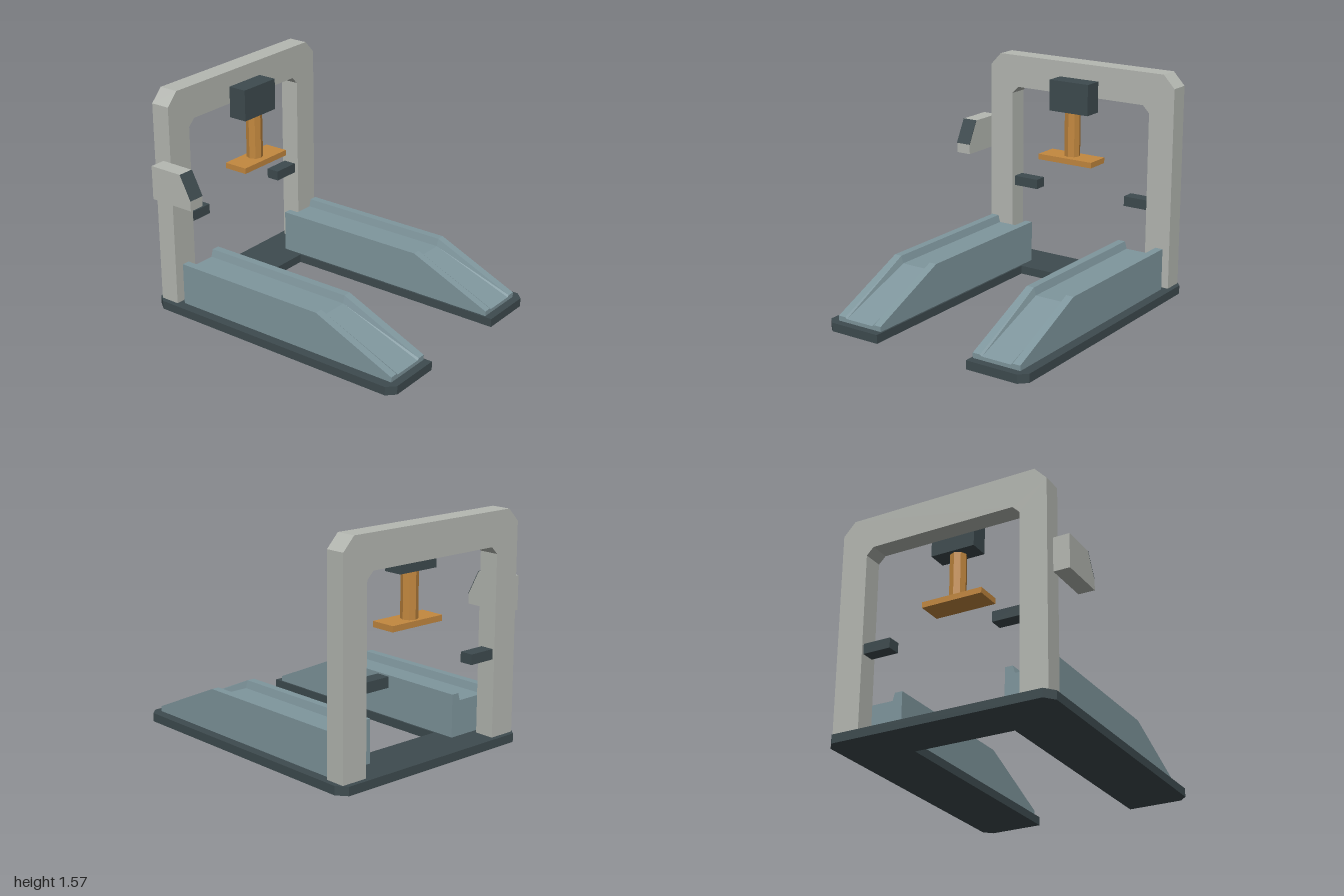
import * as THREE from 'three';

const mat = (name, color) => Object.assign(new THREE.MeshStandardMaterial({ color, flatShading: true }), { name });

// Extrude an outline of [x, y] points along +z
function prism(points, depth) {
  const shape = new THREE.Shape(points.map(([x, y]) => new THREE.Vector2(x, y)));
  return new THREE.ExtrudeGeometry(shape, { depth, bevelEnabled: false });
}

// Complete a symmetric outline from its right half
const mirrored = (half) => [...half, ...half.map(([x, y]) => [-x, y]).reverse()];

// Join matching cross-sections [{ z, pts }] (front to back) into a closed solid
function loft(sections) {
  const pos = [];
  const put = (s, i) => pos.push(s.pts[i][0], s.pts[i][1], s.z);
  const n = sections[0].pts.length;
  for (let k = 0; k < sections.length - 1; k++) {
    const a = sections[k], b = sections[k + 1];
    for (let i = 0; i < n; i++) {
      const j = (i + 1) % n;
      put(a, i); put(b, j); put(a, j);
      put(a, i); put(b, i); put(b, j);
    }
  }
  const cap = (s, flip) => {
    const tris = THREE.ShapeUtils.triangulateShape(s.pts.map(([x, y]) => new THREE.Vector2(x, y)), []);
    for (const [a, b, c] of tris) for (const i of flip ? [a, c, b] : [a, b, c]) put(s, i);
  };
  cap(sections[0], false);
  cap(sections[sections.length - 1], true);
  const g = new THREE.BufferGeometry();
  g.setAttribute('position', new THREE.Float32BufferAttribute(pos, 3));
  g.computeVertexNormals();
  return g;
}

// Channel section of a ramp, counter-clockwise seen from the front
function channel(side, top, floor) {
  const pts = [
    [0.3675, 0.06], [0.7225, 0.06], [0.7225, top], [0.6675, top],
    [0.6525, floor], [0.4375, floor], [0.4225, top], [0.3675, top],
  ];
  return side > 0 ? pts : pts.map(([x, y]) => [-x, y]).reverse();
}

export function createModel() {
  const model = new THREE.Group();
  model.name = 'liftStation';
  const body = new THREE.Group();
  body.name = 'body';
  body.position.x = 0.0375; // the side console shifts the gantry off centre
  model.add(body);

  const frameGrey = mat('frameGrey', 0xb5b8b2);
  const rampBlue = mat('rampBlueGrey', 0x7f969d);
  const dark = mat('darkSlate', 0x3e4b4f);
  const orange = mat('pressOrange', 0xc3883f);

  const add = (name, geometry, material, x = 0, y = 0, z = 0) => {
    const m = new THREE.Mesh(geometry, material);
    m.name = name;
    m.position.set(x, y, z);
    body.add(m);
    return m;
  };
  // Box given by its limits
  const box = (name, material, x0, x1, y0, y1, z0, z1) =>
    add(name, new THREE.BoxGeometry(x1 - x0, y1 - y0, z1 - z0), material, (x0 + x1) / 2, (y0 + y1) / 2, (z0 + z1) / 2);

  // U-shaped floor plate with clipped corners
  const plate = prism(mirrored([
    [0.355, 0.64], [0.355, -1], [0.735, -1], [0.79, -0.945], [0.79, 0.93], [0.735, 1],
  ]), 0.06);
  add('basePlate', plate.rotateX(-Math.PI / 2), dark);

  // Portal frame
  add('portalFrame', prism(mirrored([
    [0.515, 1.34], [0.565, 1.29], [0.565, 0.06], [0.755, 0.06], [0.755, 1.48], [0.67, 1.57],
  ]), 0.14), frameGrey, 0, 0, -0.966);

  // Ramps and bracket arms on both sides
  for (const side of [-1, 1]) {
    const label = side > 0 ? 'left' : 'right';
    add(label + 'Ramp', loft([
      { z: 0.945, pts: channel(side, 0.095, 0.085) },
      { z: 0.355, pts: channel(side, 0.355, 0.303) },
      { z: -0.79, pts: channel(side, 0.355, 0.303) },
    ]), rampBlue);
    const xs = [side * 0.3675, side * 0.566].sort((a, b) => a - b);
    box(label + 'BracketArm', dark, xs[0], xs[1], 0.59, 0.66, -0.95, -0.855);
  }

  // Press: housing, eight-sided column and pad
  box('pressHousing', dark, -0.1575, 0.1575, 1.24, 1.46, -0.827, -0.69);
  add('pressColumn', new THREE.CylinderGeometry(0.057, 0.057, 0.32, 8), orange, 0, 1.082, -0.75);
  box('pressPad', orange, -0.2175, 0.2175, 0.885, 0.925, -0.827, -0.65);

  // Side console with a sloped screen
  const console_ = prism([
    [-0.89, 0.86], [-0.555, 0.86], [-0.555, 0.93], [-0.64, 1.095], [-0.89, 1.095],
  ], 0.1125);
  add('sideConsole', console_.rotateY(-Math.PI / 2), frameGrey, -0.755);
  const dz = 0.085, dy = 0.165, len = Math.hypot(dz, dy);
  const screen = add('consoleScreen', new THREE.BoxGeometry(0.1125, len, 0.004), dark,
    -0.81125, 1.0125 + 0.002 * dz / len, -0.5975 + 0.002 * dy / len);
  screen.rotation.x = -Math.atan2(dz, dy);

  return model;
}
